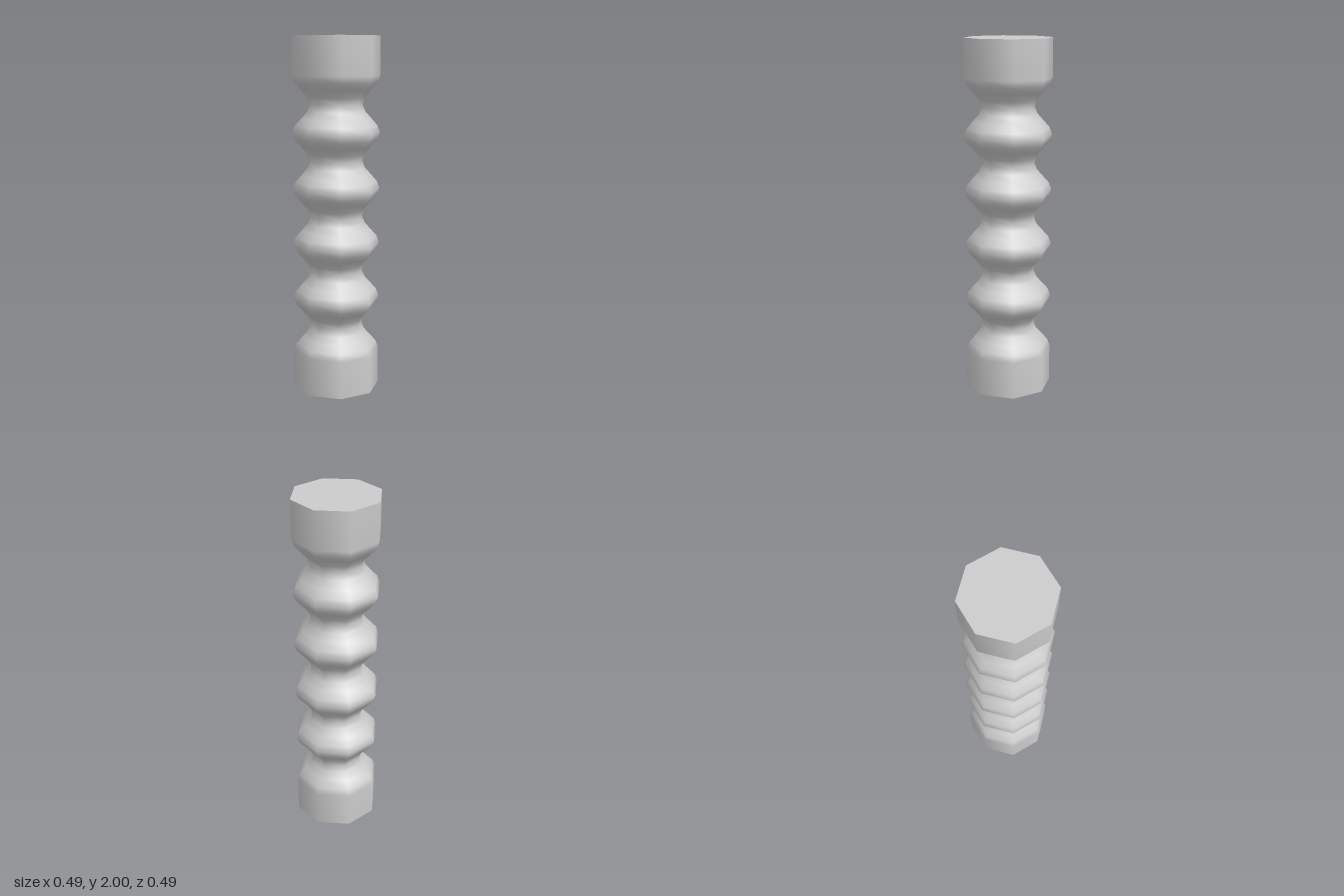
import * as THREE from 'three';

const SIDES = 8;
const RADIUS = 0.245;
const PERIOD = Math.PI / 10;
const RINGS = 5; // number of grooves between the plain ends

export function createModel() {
  const group = new THREE.Group();
  group.name = 'ribbedColumn';
  const material = new THREE.MeshStandardMaterial({ color: 0xcccccc });

  // Profile: plain end, five cosine grooves centred on the middle, plain end
  const half = (RINGS * PERIOD) / 2;
  const steps = RINGS * 8;
  const profile = [new THREE.Vector2(RADIUS, 0)];
  for (let i = 0; i <= steps; i++) {
    const t = -half + (2 * half * i) / steps;
    const r = RADIUS - 0.049 * (1 + Math.cos((t * 2 * Math.PI) / PERIOD));
    profile.push(new THREE.Vector2(r, 1 + t));
  }
  profile.push(new THREE.Vector2(RADIUS, 2));

  const shaft = new THREE.Mesh(new THREE.LatheGeometry(profile, SIDES), material);
  shaft.name = 'shaft';
  group.add(shaft);

  // Flat octagonal end faces
  for (const [name, y, tilt] of [['topCap', 2, -1], ['bottomCap', 0, 1]]) {
    const cap = new THREE.Mesh(new THREE.CircleGeometry(RADIUS, SIDES), material);
    cap.name = name;
    cap.rotation.x = (tilt * Math.PI) / 2;
    cap.position.y = y;
    group.add(cap);
  }
  return group;
}
